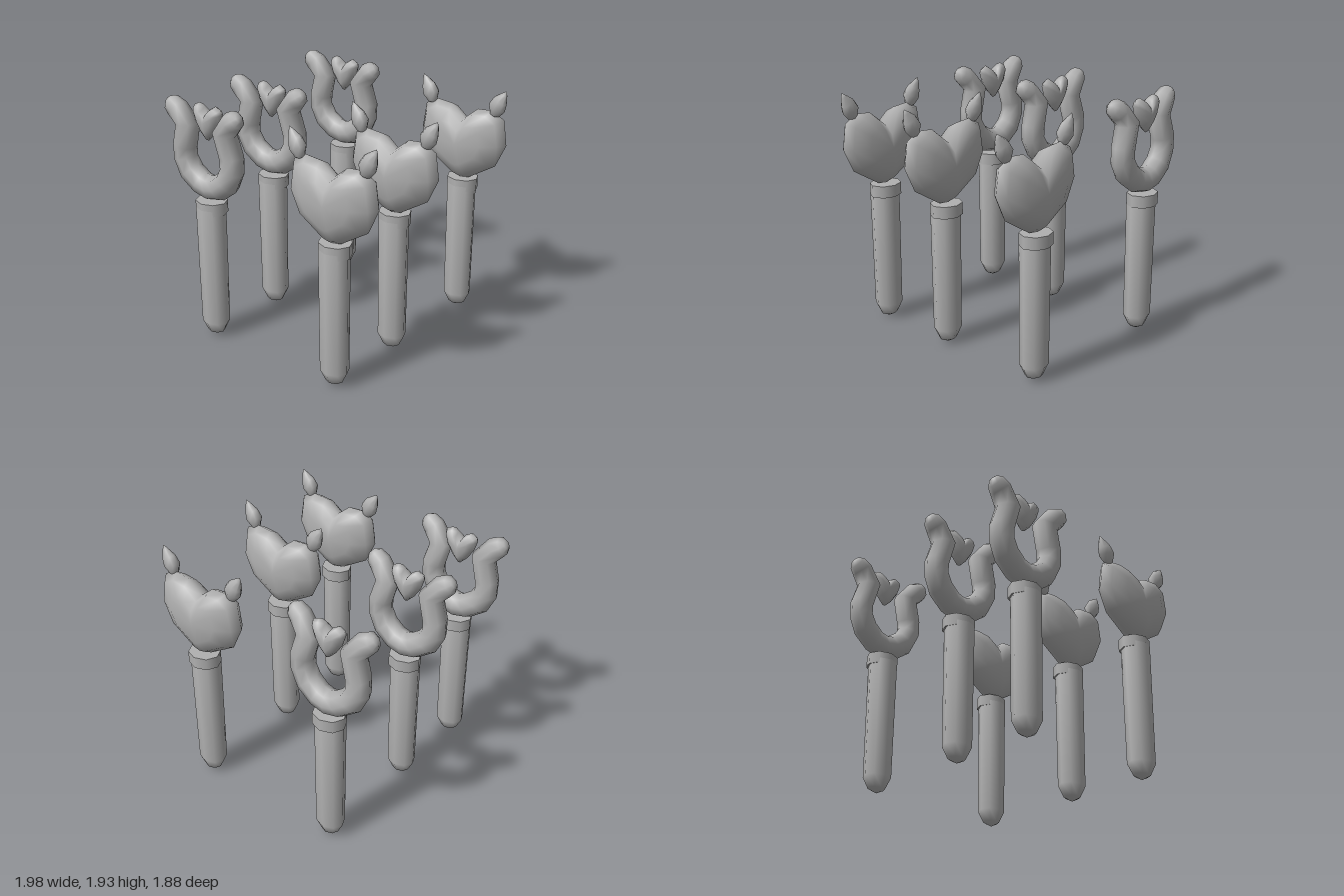
import * as THREE from 'three';
import { mergeVertices } from 'three/addons/utils/BufferGeometryUtils.js';

// Skin a list of equal-length rings; collapsed rings close the ends
function loft(rings) {
  const n = rings[0].length, index = [];
  for (let i = 0; i < rings.length - 1; i++) {
    for (let j = 0; j < n; j++) {
      const a = i * n + j, b = i * n + (j + 1) % n;
      index.push(a, b, b + n, a, b + n, a + n);
    }
  }
  let geo = new THREE.BufferGeometry();
  geo.setAttribute('position', new THREE.Float32BufferAttribute(rings.flat(2), 3));
  geo.setIndex(index);
  geo = mergeVertices(geo, 1e-5);
  geo.computeVertexNormals();
  return geo;
}

// Puffed heart from half an outline (bottom to notch), swelling in z
function heartGeometry(half, centreY, depth) {
  const mirror = half.filter((p) => p[0] > 0).reverse().map(([x, y]) => [-x, y]);
  const outline = [...half, ...mirror];
  const section = [[0, -1], [0.55, -0.89], [0.87, -0.48], [1, 0], [0.87, 0.48], [0.55, 0.89], [0, 1]];
  return loft(section.map(([s, z]) =>
    outline.map(([x, y]) => [x * s, centreY + (y - centreY) * s, z * depth])));
}

// Limb along stations [x, y, z, radius], with flattened depth
function limbGeometry(path, sides, flat) {
  return loft(path.map(([x, y, z, r], i) => {
    const p = path[Math.max(i - 1, 0)], q = path[Math.min(i + 1, path.length - 1)];
    const t = new THREE.Vector2(q[0] - p[0], q[1] - p[1]).normalize();
    return Array.from({ length: sides }, (_, j) => {
      const a = (j / sides) * Math.PI * 2, c = Math.cos(a) * r;
      return [x - t.y * c, y + t.x * c, z + Math.sin(a) * r * flat];
    });
  }));
}

export function createModel() {
  const model = new THREE.Group();
  const grey = new THREE.MeshStandardMaterial({ color: 0xb0b0b0 });
  grey.name = 'plain grey';

  // Handle with a blunt pointed foot
  const profile = [[0, 0.005], [0.07, 0.04], [0.115, 0.13], [0.122, 1.1], [0, 1.1]];
  const handleGeo = new THREE.LatheGeometry(profile.map(([x, y]) => new THREE.Vector2(x, y)), 8);
  const collarGeo = new THREE.CylinderGeometry(0.13, 0.13, 0.095, 8);

  // Large heart head
  const bigHeart = heartGeometry([
    [0, 1.145], [0.06, 1.16], [0.3, 1.31], [0.39, 1.5], [0.36, 1.7],
    [0.255, 1.757], [0.12, 1.745], [0, 1.647],
  ], 1.46, 0.134);

  // Curved leaf-shaped horn
  const hornPath = [
    [0.277, 1.712, 0.01, 0], [0.278, 1.73, 0.01, 0.04], [0.295, 1.795, 0.01, 0.073],
    [0.322, 1.85, 0.01, 0.06], [0.355, 1.905, 0.01, 0.025], [0.37, 1.937, 0.01, 0],
  ];
  const horn = limbGeometry(hornPath, 8, 0.72);
  const mirroredHorn = limbGeometry(hornPath.map(([x, y, z, r]) => [-x - 0.018, y, z, r]), 8, 0.72);

  // Horseshoe head with flared ends
  const arm = [
    [0.09, 1.275, -0.012, 0.1], [0.19, 1.347, -0.005, 0.1], [0.243, 1.45, 0, 0.096],
    [0.243, 1.55, 0, 0.096], [0.192, 1.735, 0.01, 0.098], [0.28, 1.84, 0.025, 0.088],
    [0.335, 1.878, 0.03, 0.072], [0.362, 1.897, 0.03, 0.035], [0.367, 1.901, 0.03, 0],
  ];
  const left = arm.map(([x, y, z, r]) => [-x, y, z, r]).reverse();
  const horseshoe = limbGeometry([...left, [0, 1.255, -0.015, 0.1], ...arm], 8, 0.92);

  // Small heart between the horseshoe ends
  const smallHeart = heartGeometry([
    [0, 1.63], [0.06, 1.69], [0.115, 1.775], [0.143, 1.86], [0.135, 1.89],
    [0.085, 1.915], [0.035, 1.885], [0, 1.833],
  ], 1.78, 0.066);

  const add = (group, geo, name) => {
    const mesh = new THREE.Mesh(geo, grey);
    mesh.name = name;
    group.add(mesh);
    return mesh;
  };

  // Handle and collar shared by both kinds of wand
  const wand = (name, x, z) => {
    const group = new THREE.Group();
    group.name = name;
    group.position.set(x, 0, z);
    const handle = add(group, handleGeo, 'handle');
    handle.scale.z = 0.88;
    handle.position.z = -0.002;
    const collar = add(group, collarGeo, 'collar');
    collar.position.set(0, 1.108, -0.012);
    collar.scale.z = 0.88;
    model.add(group);
    return group;
  };

  // Three wands of each kind
  for (const z of [0.805, 0.103, -0.81]) {
    const heartWand = wand('heartWand', 0.605, z);
    add(heartWand, bigHeart, 'heart');
    add(heartWand, horn, 'leftHorn');
    add(heartWand, mirroredHorn, 'rightHorn');

    const shoeWand = wand('horseshoeWand', -0.607, z);
    add(shoeWand, horseshoe, 'horseshoe');
    add(shoeWand, smallHeart, 'smallHeart').position.z = -0.014;
  }
  return model;
}
